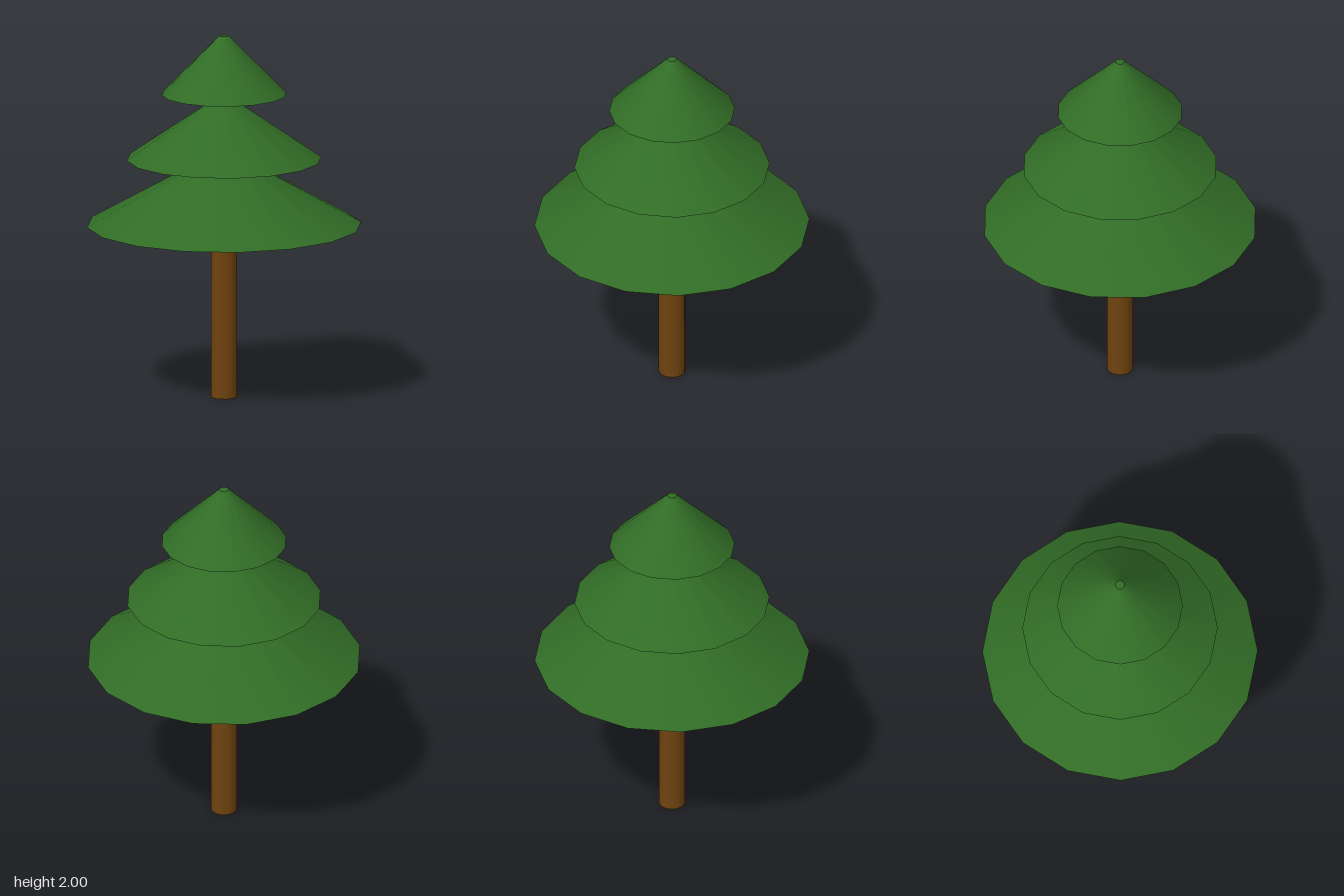
import * as THREE from 'three';

const SIDES = 16;

export function createModel() {
  const tree = new THREE.Group();
  tree.name = 'pineTree';

  const leafGreen = new THREE.MeshStandardMaterial({ color: 0x316c26 });
  leafGreen.name = 'leafGreen';
  const barkBrown = new THREE.MeshStandardMaterial({ color: 0x70430f, side: THREE.DoubleSide });
  barkBrown.name = 'barkBrown';

  // A cone frustum without caps, smooth around and sharp at its rims
  function frustum(name, rTop, yTop, rBottom, yBottom, material) {
    const geometry = new THREE.CylinderGeometry(rTop, rBottom, yTop - yBottom, SIDES, 1, true);
    const mesh = new THREE.Mesh(geometry, material);
    mesh.position.y = (yTop + yBottom) / 2;
    mesh.name = name;
    return mesh;
  }

  // Trunk: an open tube reaching the lowest branches
  tree.add(frustum('trunk', 0.072, 0.932, 0.072, 0, barkBrown));

  // Branch tiers: a sloping top and a shallow underside that narrows to the part below
  const tiers = [
    { name: 'lowerBranches', rim: [0.747, 0.953], top: [0.187, 1.27], under: [0.072, 0.931] },
    { name: 'middleBranches', rim: [0.53, 1.318], top: [0.06, 1.643], under: [0.187, 1.27] },
    { name: 'upperBranches', rim: [0.341, 1.677], top: [0.026, 2], under: [0.06, 1.643] },
  ];
  for (const { name, rim, top, under } of tiers) {
    const tier = new THREE.Group();
    tier.name = name;
    tier.add(frustum(name + 'Top', ...top, ...rim, leafGreen));
    tier.add(frustum(name + 'Underside', ...rim, ...under, leafGreen));
    tree.add(tier);
  }

  // Flat tip
  const tip = new THREE.Mesh(new THREE.CircleGeometry(0.026, SIDES), leafGreen);
  tip.rotation.x = -Math.PI / 2;
  tip.position.y = 2;
  tip.name = 'tip';
  tree.add(tip);

  return tree;
}
